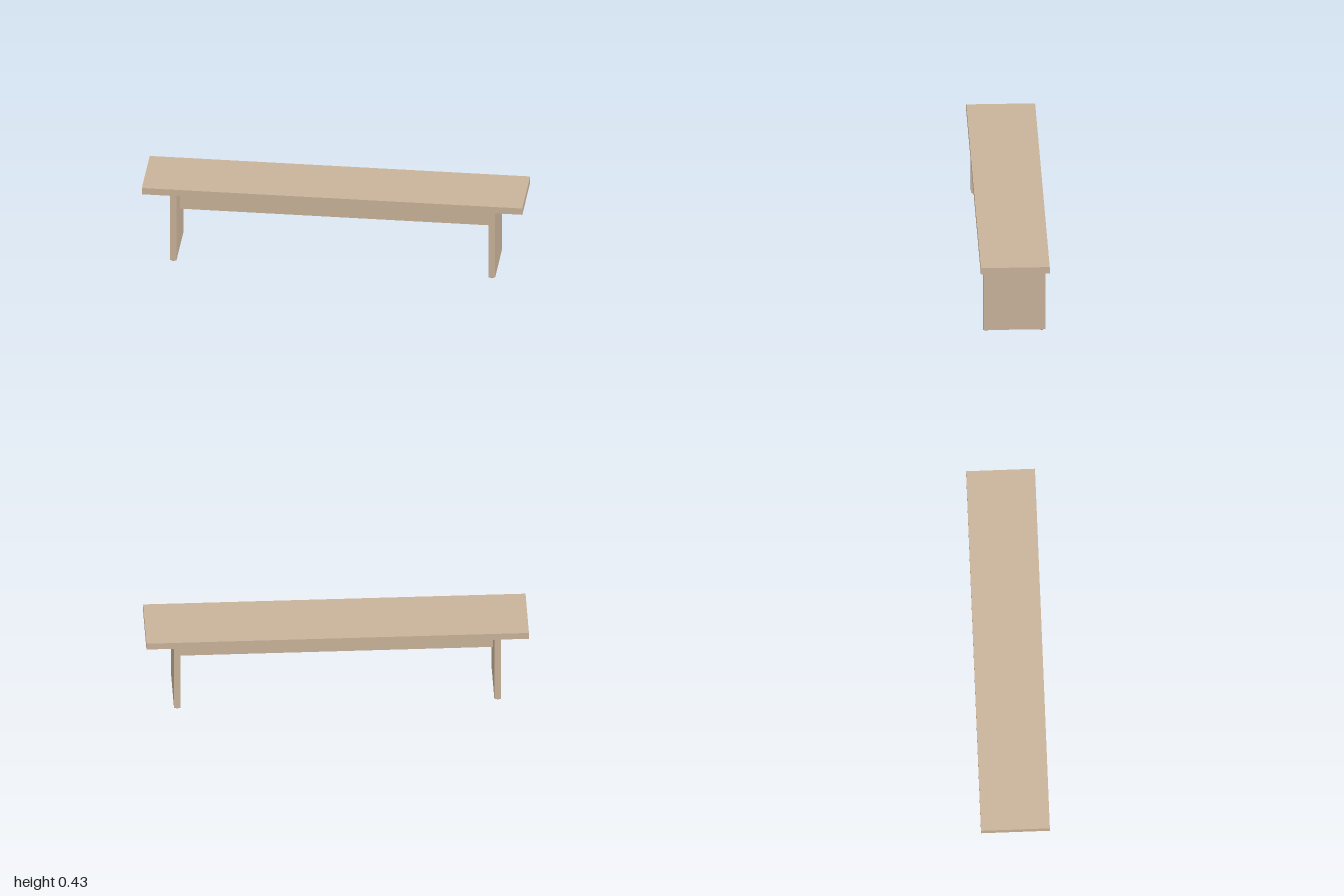
import * as THREE from 'three';

const wood = new THREE.MeshStandardMaterial({ color: 0xc9b39a });
wood.name = 'pale wood';

function add(parent, name, geometry, x, y, z) {
  const mesh = new THREE.Mesh(geometry, wood);
  mesh.name = name;
  mesh.position.set(x, y, z);
  parent.add(mesh);
  return mesh;
}

// Upright board, centred on its own origin, with blind screw holes [x, y, radius] in its +z face
function drilledBoard(name, width, height, depth, holes) {
  const board = new THREE.Group();
  board.name = name;
  const w = width / 2, h = height / 2;
  const outline = new THREE.Shape().moveTo(-w, -h).lineTo(w, -h).lineTo(w, h).lineTo(-w, h).closePath();
  for (const [x, y, r] of holes) outline.holes.push(new THREE.Path().absarc(x, y, r, 0, Math.PI * 2, true));
  const half = depth / 2;
  add(board, 'solidLayer', new THREE.BoxGeometry(width, height, half), 0, 0, -half / 2);
  add(board, 'drilledLayer', new THREE.ExtrudeGeometry(outline, { depth: half, bevelEnabled: false, curveSegments: 8 }), 0, 0, 0);
  return board;
}

export function createModel() {
  const bench = new THREE.Group();
  bench.name = 'bench';

  // Seat plank
  add(bench, 'seat', new THREE.BoxGeometry(2, 0.037, 0.36), 0, 0.4155, 0);

  // Thin central rail, its screw holes facing the back
  const rail = drilledBoard('rail', 1.64, 0.164, 0.018, [
    [-0.715, 0.058, 0.006], [0, 0.058, 0.006], [0.715, 0.058, 0.006],
    [-0.8, -0.045, 0.003], [-0.8, -0.02, 0.003],
  ]);
  rail.rotation.y = Math.PI;
  rail.position.set(0, 0.315, 0);
  bench.add(rail);

  for (const side of [-1, 1]) {
    const label = side > 0 ? 'left' : 'right';

    // Slab leg, its screw holes facing inwards
    const leg = drilledBoard(label + 'Leg', 0.324, 0.39, 0.035, [[-0.11, 0.172, 0.006], [0.11, 0.172, 0.006]]);
    leg.rotation.y = -side * Math.PI / 2;
    leg.position.set(side * 0.8375, 0.202, 0);
    bench.add(leg);

    // Tapered glides under each leg
    for (const z of [-0.145, 0.145]) {
      add(bench, label + 'Glide', new THREE.CylinderGeometry(0.013, 0.01, 0.007, 20), side * 0.8375, 0.0035, z);
    }
  }
  return bench;
}
